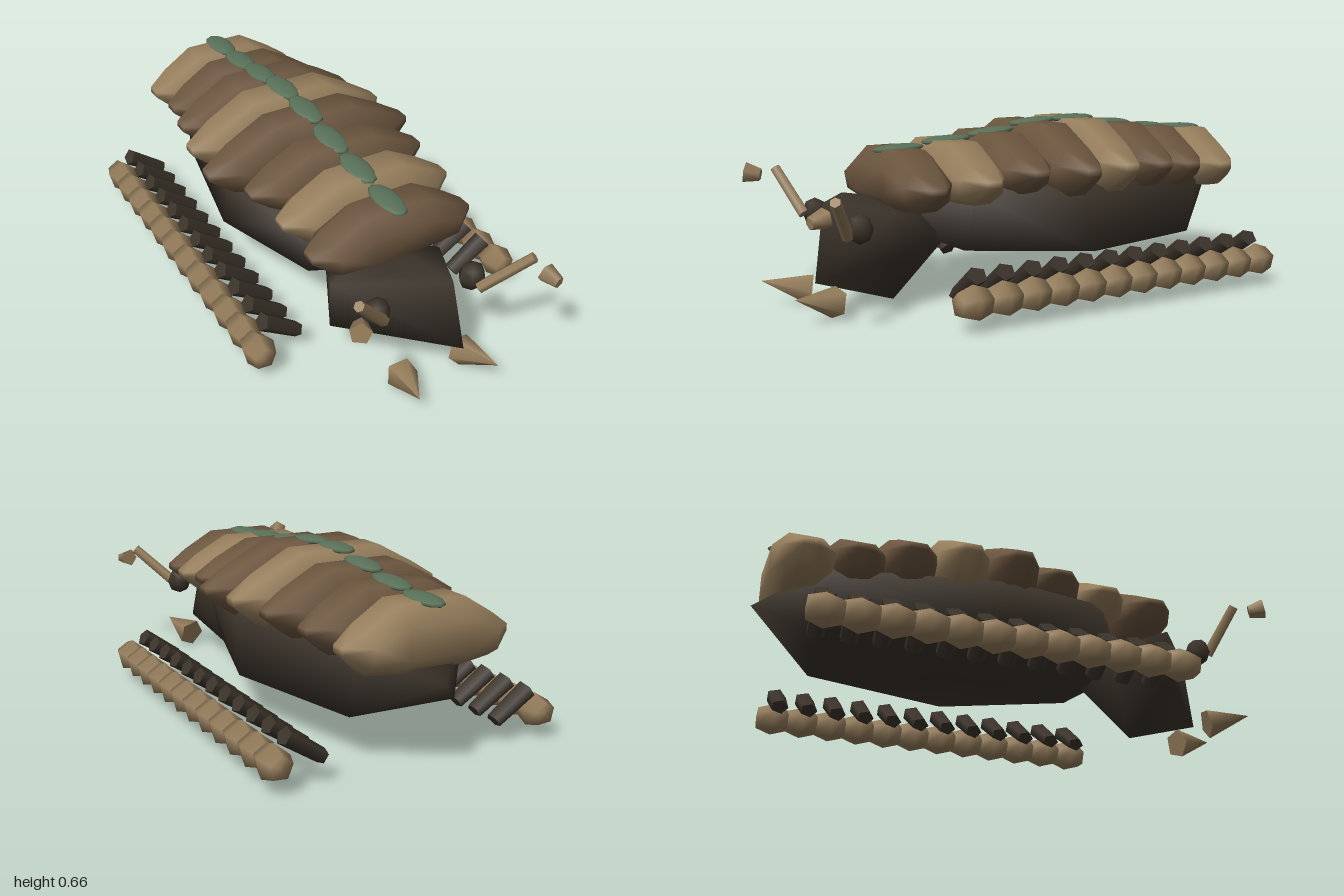
import * as THREE from 'three';
import { mergeVertices } from 'three/addons/utils/BufferGeometryUtils.js';
import { ConvexGeometry } from 'three/addons/geometries/ConvexGeometry.js';

const mat = (name, color) => Object.assign(new THREE.MeshStandardMaterial({ color }), { name });
const V = (p) => new THREE.Vector3(...p);

export function createModel() {
  const model = new THREE.Group();
  model.name = 'armouredCrawler';
  const dark = mat('darkHide', 0x3c342b);
  const brown = mat('brownShell', 0x6c563f);
  const tan = mat('tanShell', 0x967e5c);
  const green = mat('greenSpine', 0x587058);

  const add = (name, geometry, material, pos = [0, 0, 0], parent = model) => {
    const mesh = new THREE.Mesh(geometry, material);
    mesh.name = name;
    mesh.position.set(...pos);
    parent.add(mesh);
    return mesh;
  };

  // Coarse convex lump with smooth shading
  const lump = (points) => {
    const hull = new ConvexGeometry(points.map(V));
    hull.deleteAttribute('normal');
    const g = mergeVertices(hull, 1e-4);
    g.computeVertexNormals();
    return g;
  };

  // Tapered rod between two points
  const rod = (name, a, b, rA, rB, sides, material, parent = model) => {
    const from = V(a), dir = V(b).sub(from);
    const mid = from.clone().addScaledVector(dir, 0.5);
    const g = new THREE.CylinderGeometry(rB, rA, dir.length(), sides);
    const mesh = add(name, g, material, mid.toArray(), parent);
    mesh.quaternion.setFromUnitVectors(new THREE.Vector3(0, 1, 0), dir.normalize());
    return mesh;
  };

  // Body: broad amidships, tapering to a pointed tail
  add('body', lump([
    [0, 0.335, -1], [0, 0.19, -0.78],
    [0.21, 0.42, -0.78], [-0.22, 0.42, -0.78], [0.2, 0.175, -0.74], [-0.22, 0.175, -0.75], [0, 0.5, -0.65],
    [0.33, 0.42, -0.12], [-0.35, 0.42, -0.1], [0.337, 0.178, -0.17], [-0.361, 0.228, -0.13],
    [0, 0.53, -0.1], [0, 0.15, -0.1],
    [0.25, 0.43, 0.3], [-0.27, 0.43, 0.3], [0.2, 0.21, 0.32], [-0.22, 0.22, 0.3],
    [0, 0.46, 0.45], [0, 0.28, 0.48],
  ]), dark);

  // Lopsided wedge head
  add('head', lump([
    [0.09, 0.135, 0.86], [0.06, 0.412, 0.81], [-0.12, 0.412, 0.66], [-0.28, 0.36, 0.56],
    [-0.28, 0.175, 0.56], [0.01, 0.015, 0.52], [0.165, 0.37, 0.58], [0.16, 0.21, 0.56],
    [-0.18, 0.25, 0.36], [0.1, 0.25, 0.34], [0, 0.38, 0.42],
  ]), dark);

  // Unit back plate: cross-sections along x of [y, half depth], sloping down to low tips
  const platePoints = [];
  for (const [x, section] of [
    [0.38, [[1, 0.5], [0.45, 1], [-0.5, 1], [-1, 0.5]]],
    [0.75, [[0.37, 0.45], [-0.05, 0.85], [-0.65, 0.75], [-0.95, 0.3]]],
    [1, [[-0.1, 0.25], [-0.3, 0.25]]],
  ]) {
    for (const [y, z] of section) {
      for (const sx of [1, -1]) for (const sz of [1, -1]) platePoints.push([sx * x, y, sz * z]);
    }
  }
  const plateShape = lump(platePoints);

  // Overlapping back plates: z, left half width, right half width, bottom, top, material
  const plates = [
    [0.495, 0.33, 0.33, 0.37, 0.58, brown], [0.295, 0.37, 0.335, 0.385, 0.6, tan],
    [0.1, 0.38, 0.36, 0.41, 0.62, brown], [-0.09, 0.44, 0.44, 0.39, 0.65, brown],
    [-0.28, 0.42, 0.42, 0.39, 0.655, tan], [-0.47, 0.385, 0.375, 0.395, 0.63, brown],
    [-0.655, 0.335, 0.335, 0.38, 0.605, brown], [-0.845, 0.31, 0.335, 0.36, 0.59, tan],
  ];
  const spineTilt = [0.03, 0.05, 0.08, 0.06, 0, -0.06, -0.06, -0.03];
  const spineShape = new THREE.SphereGeometry(1, 12, 8);
  plates.forEach(([z, left, right, low, high, material], i) => {
    const mesh = add(`backPlate${i + 1}`, plateShape, material, [(left - right) / 2, (low + high) / 2, z]);
    mesh.scale.set((left + right) / 2, (high - low) / 2, 0.116);
    // Green scale along the spine
    const scale = add(`spineScale${i + 1}`, spineShape, green, [-0.003, high - 0.003, z - 0.012]);
    scale.scale.set(0.05, 0.016, 0.105);
    scale.rotation.x = spineTilt[i];
  });

  // Twelve short legs with stubby feet on each side
  const footProfile = [[0, -0.064], [0.044, -0.06], [0.065, 0], [0.044, 0.06], [0, 0.064]];
  const footShape = new THREE.LatheGeometry(footProfile.map(([r, h]) => new THREE.Vector2(r, h)), 5);
  footShape.rotateX(Math.PI / 2).rotateZ(0.7);
  for (const side of [1, -1]) {
    const legs = new THREE.Group();
    legs.name = side > 0 ? 'leftLegs' : 'rightLegs';
    model.add(legs);
    for (let i = 0; i < 12; i++) {
      const z = 0.434 - i * 0.1135;
      rod('leg', [side * 0.345, 0.092, z], [side * 0.485, 0.188, z], 0.028, 0.034, 5, dark, legs).scale.z = 1.2;
      const foot = add('foot', footShape, tan, [side * 0.525, 0.105, 0.472 - i * 0.117], legs);
      if (side < 0) foot.rotation.y = Math.PI;
    }
  }

  // Eyes and jaw cones
  const eyeShape = new THREE.SphereGeometry(0.055, 6, 4);
  for (const side of [1, -1]) {
    add(side > 0 ? 'leftEye' : 'rightEye', eyeShape, dark, [side * 0.2, 0.333, 0.735]).scale.z = 0.85;
    rod(side > 0 ? 'leftJaw' : 'rightJaw',
      [side * 0.125, 0.065, 0.795], [side * 0.165, 0.105, 0.965], 0.06, 0, 5, tan);
  }

  // Uneven antennae and their loose tips
  rod('leftAntenna', [0.2, 0.31, 0.78], [0.345, 0.46, 0.885], 0.022, 0.02, 6, tan);
  rod('rightAntenna', [-0.2, 0.33, 0.78], [-0.335, 0.49, 0.835], 0.022, 0.02, 6, tan);
  rod('leftAntennaTip', [0.362, 0.415, 0.925], [0.375, 0.405, 0.987], 0.038, 0.022, 5, tan);
  rod('rightAntennaTip', [-0.36, 0.465, 0.885], [-0.39, 0.475, 0.935], 0.025, 0.04, 5, tan);
  return model;
}
